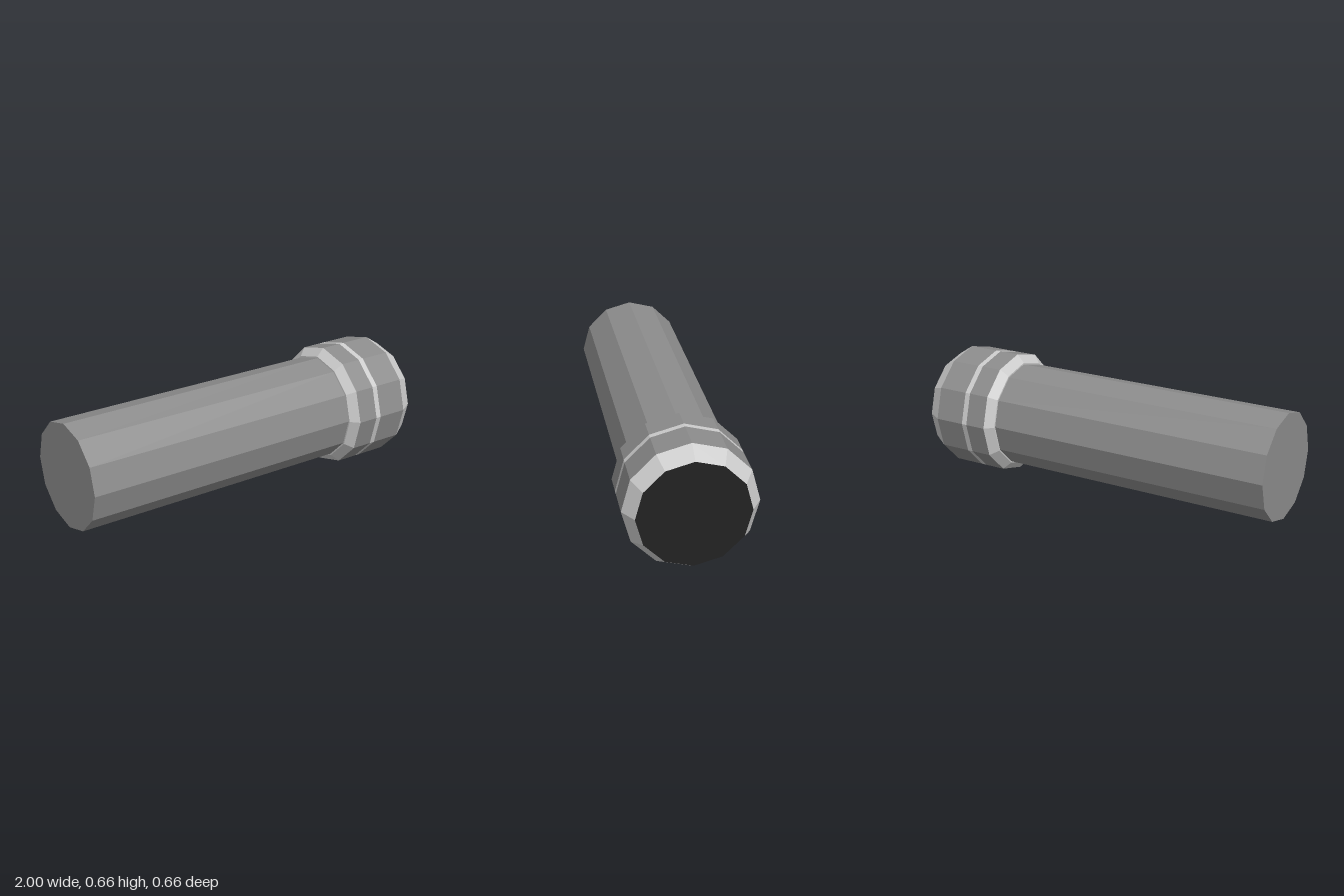
import * as THREE from 'three';

const SIDES = 12;
const BODY_R = 0.28;
const HEAD_R = 0.331;

// Faceted ring or solid turned about the x axis from [x, radius] pairs
function turned(name, profile, color) {
  const points = profile.map(([x, r]) => new THREE.Vector2(r, x));
  const geometry = new THREE.LatheGeometry(points, SIDES);
  geometry.rotateZ(-Math.PI / 2);
  const material = new THREE.MeshStandardMaterial({ color, flatShading: true });
  const mesh = new THREE.Mesh(geometry, material);
  mesh.name = name;
  return mesh;
}

export function createModel() {
  const group = new THREE.Group();
  group.name = 'flashlight';
  const dark = 0x8c8c8c, light = 0xcccccc, black = 0x222222;

  group.add(
    // Long handle with a closed tail
    turned('handle', [[-1, 0], [-1, BODY_R], [0.57, BODY_R]], dark),
    // Head: rear bevel, barrel split by a flush band, front bevel
    turned('rearBevel', [[0.565, BODY_R], [0.565, 0.288], [0.605, HEAD_R]], light),
    turned('rearBarrel', [[0.605, HEAD_R], [0.72, HEAD_R]], dark),
    turned('headBand', [[0.72, HEAD_R], [0.75, HEAD_R]], light),
    turned('frontBarrel', [[0.75, HEAD_R], [0.917, HEAD_R]], dark),
    turned('frontBevel', [[0.917, HEAD_R], [1, 0.278]], light),
    // Flat lens
    turned('lens', [[1, 0.278], [1, 0]], black)
  );

  group.position.y = HEAD_R;
  const root = new THREE.Group();
  root.add(group);
  return root;
}
